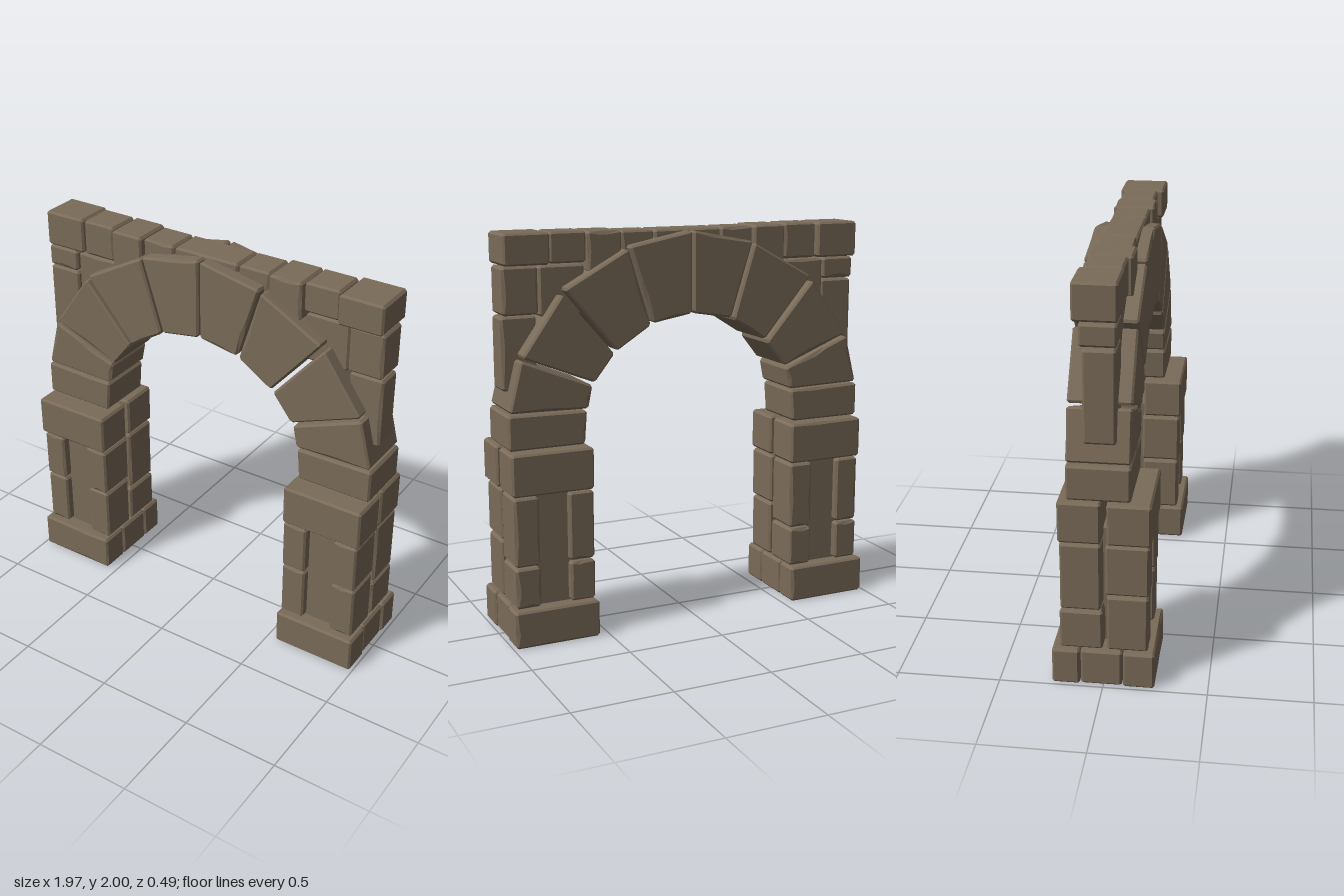
import * as THREE from 'three';

const material = new THREE.MeshStandardMaterial({ color: 0x7a6b59, flatShading: true, roughness: 0.9 });

// small seeded generator for the worn edges
let seed = 7;
const rnd = () => (seed = (seed * 16807) % 2147483647) / 2147483647;

// Stone: a four-cornered outline run from z0 to z1, with chamfered corners and worn bevels
function stone(name, corners, z0, z1) {
  const pts = corners.map(([x, y]) => new THREE.Vector2(x, y));
  if (THREE.ShapeUtils.area(pts) < 0) pts.reverse();
  const mid = new THREE.Vector2();
  pts.forEach(p => mid.addScaledVector(p, 1 / pts.length));

  // outline with two points per corner and two extra points along each edge
  const bevel = 0.012, outline = [], inner = [];
  pts.forEach((a, i) => {
    const b = pts[(i + 1) % pts.length];
    const dir = b.clone().sub(a), len = dir.length();
    dir.normalize();
    const normal = new THREE.Vector2(-dir.y, dir.x);
    const s = 0.3 + 0.15 * rnd();
    const chip = rnd() < 0.4 ? 0.012 : 0;
    [bevel, len * s, len * (s + 0.2), len - bevel].forEach((d, k) => {
      const p = a.clone().addScaledVector(dir, d);
      const wear = k === 1 || k === 2 ? chip * rnd() : 0;
      outline.push(p);
      inner.push(p.clone().addScaledVector(normal, bevel * 0.8 + wear));
    });
  });

  // rings from the back face to the front face
  const n = outline.length, e = 0.01;
  const rings = [[inner, z0], [outline, z0 + e], [outline, z1 - e], [inner, z1]];
  const pos = [], idx = [];
  rings.forEach(([ring, z]) => ring.forEach(p => pos.push(p.x, p.y, z)));
  pos.push(mid.x, mid.y, z0, mid.x, mid.y, z1);
  for (let i = 0; i < n; i++) {
    const j = (i + 1) % n;
    for (let r = 0; r < 3; r++) {
      const a = r * n + i, b = r * n + j;
      idx.push(a, b, b + n, a, b + n, a + n);
    }
    idx.push(4 * n, j, i, 4 * n + 1, 3 * n + i, 3 * n + j);
  }
  const geo = new THREE.BufferGeometry();
  geo.setAttribute('position', new THREE.Float32BufferAttribute(pos, 3));
  geo.setIndex(idx);
  const flat = geo.toNonIndexed();
  flat.computeVertexNormals();
  const mesh = new THREE.Mesh(flat, material);
  mesh.name = name;
  return mesh;
}

// Rectangular stone
const block = (name, x0, x1, y0, y1, z0, z1) =>
  stone(name, [[x0, y0], [x1, y0], [x1, y1], [x0, y1]], z0, z1);

// Pillar on one side: side = 1 or -1
function pillar(side) {
  const g = new THREE.Group();
  g.name = side > 0 ? 'leftPillar' : 'rightPillar';
  const add = (name, x0, x1, ...rest) => g.add(block(name, side * x0, side * x1, ...rest));

  // base slabs
  [[0.095, 0.245], [-0.108, 0.09], [-0.245, -0.113]].forEach(([a, b], i) =>
    add('baseSlab', 0.55, i === 1 ? 0.98 : 0.987, 0, 0.187, a, b));

  // recessed core and corner stones
  add('core', 0.65, 0.87, 0.17, 0.8, -0.165, 0.17);
  for (const [x0, x1] of [[0.557, 0.685], [0.84, 0.967]]) {
    add('cornerStone', x0, x1, 0.19, 0.478, 0.018, 0.212);
    add('cornerStone', x0, x1, 0.485, 0.745, 0.012, 0.217);
    add('cornerStone', x0, x1, 0.19, 0.392, -0.207, -0.003);
    add('cornerStone', x0, x1, 0.4, 0.745, -0.203, -0.01);
  }

  // capital stones
  add('capitalStone', 0.555, 0.98, 0.753, 0.962, 0.02, 0.226);
  add('capitalStone', 0.555, 0.975, 0.753, 0.962, -0.21, -0.008);
  return g;
}

// Arch stones of one half, springer first, as outlines on the +x side
const ARCH = [
  [[0.583, 0.972], [0.972, 0.972], [0.972, 1.145], [0.57, 1.138]],
  [[0.563, 1.147], [0.965, 1.155], [0.902, 1.405], [0.54, 1.26]],
  [[0.528, 1.272], [0.895, 1.418], [0.688, 1.71], [0.423, 1.405]],
  [[0.41, 1.418], [0.675, 1.732], [0.345, 1.912], [0.228, 1.533]],
  [[0.216, 1.542], [0.335, 1.922], [0.004, 1.986], [0.004, 1.578]],
];

export function createModel() {
  seed = 7;
  const model = new THREE.Group();
  model.name = 'stoneArchway';

  const arch = new THREE.Group();
  arch.name = 'arch';
  for (const side of [1, -1]) {
    model.add(pillar(side));
    ARCH.forEach((outline, i) =>
      arch.add(stone(i ? 'archStone' : 'springer', outline.map(([x, y]) => [side * x, y]), -0.167, 0.132)));
  }
  model.add(arch);

  // wall above the arch: x0, x1, y0, y1, z0, z1
  const wall = new THREE.Group();
  wall.name = 'wall';
  const topRow = [
    [-0.967, -0.736, 1.82, 2, -0.13, 0.075],
    [-0.73, -0.547, 1.82, 2, -0.11, 0.07],
    [-0.542, -0.367, 1.8, 1.997, -0.12, 0.09],
    [-0.362, -0.185, 1.8, 1.993, -0.105, 0.07],
    [-0.18, 0.18, 1.8, 1.992, -0.105, 0.07],
    [0.185, 0.357, 1.8, 1.993, -0.105, 0.07],
    [0.362, 0.537, 1.8, 1.997, -0.12, 0.09],
    [0.542, 0.727, 1.85, 2, -0.11, 0.07],
    [0.732, 0.962, 1.848, 2, -0.13, 0.1],
  ];
  const spandrels = [
    [-0.965, -0.787, 1.706, 1.814, -0.1, 0.07],
    [-0.967, -0.787, 1.25, 1.698, -0.085, 0.065],
    [-0.782, -0.55, 1.6, 1.812, -0.1, 0.06],
    [0.785, 0.962, 1.612, 1.842, -0.1, 0.07],
    [0.79, 0.967, 1.247, 1.604, -0.077, 0.06],
    [0.55, 0.78, 1.6, 1.842, -0.1, 0.06],
  ];
  topRow.forEach(b => wall.add(block('topStone', ...b)));
  spandrels.forEach(b => wall.add(block('spandrelStone', ...b)));
  model.add(wall);
  return model;
}
